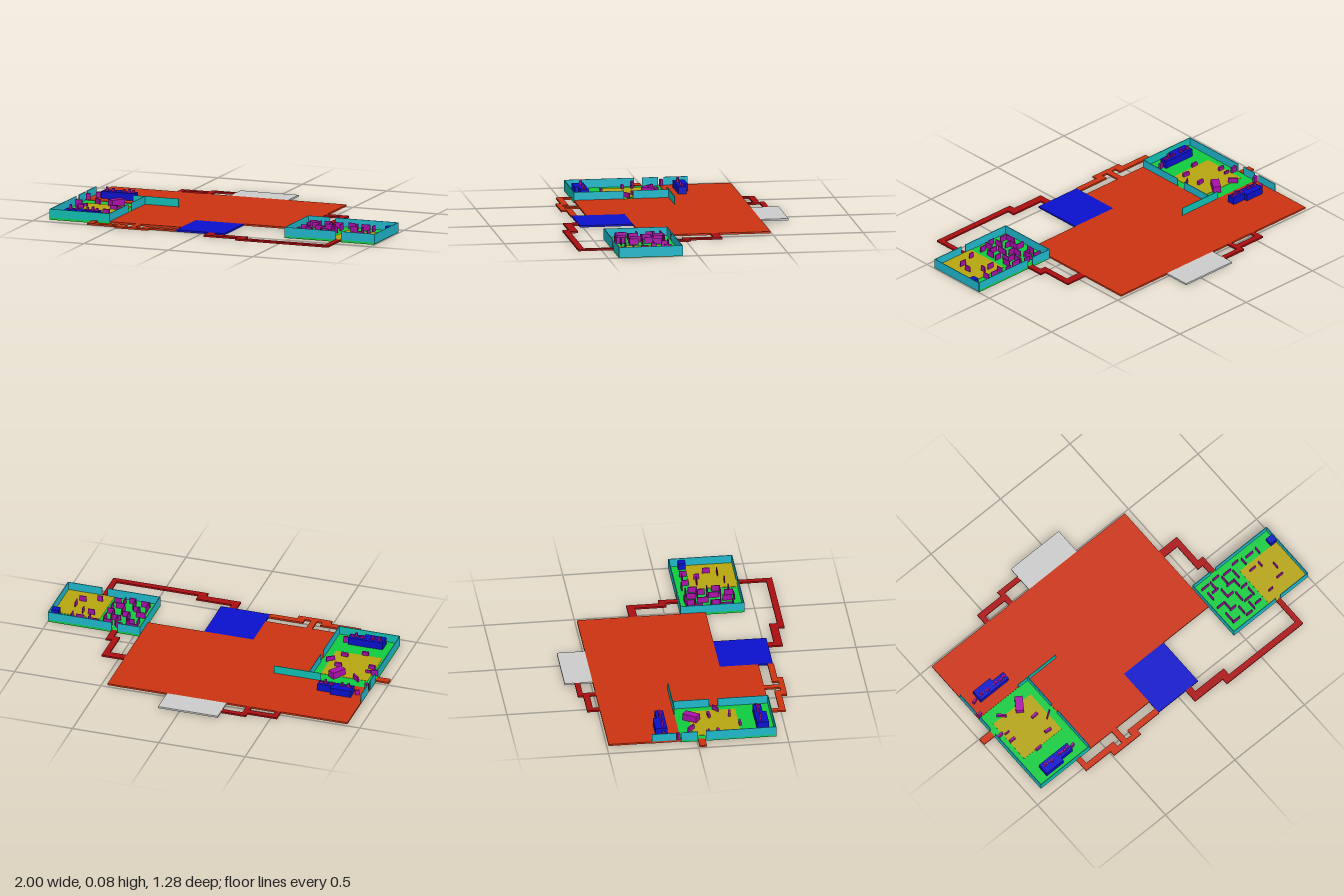
import * as THREE from 'three';

const mat = (color) => new THREE.MeshStandardMaterial({ color, flatShading: true });
const M = {
  orange: mat(0xcc3311), red: mat(0xaa0e10), green: mat(0x10cc40), yellow: mat(0xb5a510), blue: mat(0x0a10cc),
  teal: mat(0x10c0b4), cyan: mat(0x20b8cc), magenta: mat(0xaa10aa), grey: mat(0xcccccc),
};

// Box given by its limits in x, z and y
function slab(parent, name, m, [x0, x1, z0, z1], y0 = 0.005, y1 = 0.015) {
  const mesh = new THREE.Mesh(new THREE.BoxGeometry(x1 - x0, y1 - y0, z1 - z0), M[m]);
  mesh.position.set((x0 + x1) / 2, (y0 + y1) / 2, (z0 + z1) / 2);
  mesh.name = name;
  parent.add(mesh);
  return mesh;
}

function group(parent, name) {
  const g = new THREE.Group();
  g.name = name;
  parent.add(g);
  return g;
}

// Box by centre, size and turn
function block(parent, name, m, x, z, w, d, y0, y1, turn = 0) {
  const b = slab(parent, name, m, [x - w / 2, x + w / 2, z - d / 2, z + d / 2], y0, y1);
  b.rotation.y = turn;
}

const T = 0.004; // wall thickness
const wallX = (p, m, z, x0, x1) => slab(p, 'wall', m, [x0, x1, z - T / 2, z + T / 2], 0.004, 0.06);
const wallZ = (p, m, x, z0, z1) => slab(p, 'wall', m, [x - T / 2, x + T / 2, z0, z1], 0.004, 0.06);

function addCorridors(root) {
  const runs = {
    backCorridor: ['red', [-0.37, -0.225, -0.59, -0.56], [-0.37, -0.34, -0.56, -0.49],
      [-0.54, -0.37, -0.56, -0.525], [-0.54, -0.51, -0.525, -0.49]],
    leftSideCorridor: ['red', [0.465, 0.595, -0.2, -0.155], [0.56, 0.595, -0.155, 0.02], [0.595, 0.63, -0.02, 0.085]],
    longFrontCorridor: ['red', [0.05, 0.09, 0.52, 0.555], [0.05, 0.295, 0.555, 0.6],
      [0.25, 0.8, 0.6, 0.635], [0.77, 0.8, 0.44, 0.6]],
    shortFrontCorridor: ['orange', [-0.67, -0.64, 0.44, 0.49], [-0.67, -0.445, 0.49, 0.525],
      [-0.495, -0.3, 0.525, 0.555], [-0.345, -0.145, 0.49, 0.525], [-0.415, -0.38, 0.44, 0.525]],
    entryCorridor: ['orange', [-1, -0.925, 0.005, 0.045]],
  };
  for (const [name, [color, ...parts]] of Object.entries(runs)) {
    const g = group(root, name);
    parts.forEach((p) => slab(g, 'corridorSection', color, p));
  }
}

function addLargeRoom(root) {
  const g = group(root, 'rightRoom');
  slab(g, 'roomFloor', 'green', [-0.925, -0.57, -0.09, 0.44], 0, 0.012);
  slab(g, 'carpet', 'yellow', [-0.885, -0.615, -0.015, 0.25], 0.01, 0.014);
  // walls with door gaps
  wallX(g, 'teal', 0.438, -0.925, -0.57);
  wallZ(g, 'cyan', -0.923, 0.05, 0.44);
  wallZ(g, 'cyan', -0.923, -0.085, 0.005);
  wallZ(g, 'cyan', -0.923, -0.25, -0.115);
  wallZ(g, 'cyan', -0.572, 0.16, 0.44);
  wallZ(g, 'cyan', -0.572, -0.09, 0.11);
  wallX(g, 'teal', -0.09, -0.64, -0.37);
  // two counters with small figures on top
  for (const [z, s] of [[-0.178, -1], [0.365, 1]]) {
    const c = group(g, 'counter');
    block(c, 'counterBody', 'blue', -0.755, z, 0.2, 0.046, 0.012, 0.055);
    block(c, 'counterBack', 'blue', -0.795, z + s * 0.033, 0.12, 0.02, 0.012, 0.055);
    [[-0.83, 0.078], [-0.79, 0.074], [-0.73, 0.07], [-0.695, 0.076], [-0.675, 0.068]].forEach(([x, top], i) => {
      block(c, 'counterItem', 'magenta', x, z + (i % 2 ? 0.006 : -0.003), 0.012, 0.012, 0.05, top);
      block(c, 'counterItemBase', 'magenta', x, z, 0.03, 0.01, 0.055, 0.06);
    });
    block(c, 'stool', 'magenta', s < 0 ? -0.88 : -0.635, z, 0.025, 0.012, 0.012, 0.045, 0.3);
  }
  // loose furniture: x, z, width, depth, top, turn
  [[-0.705, -0.005, 0.045, 0.085, 0.05, -0.6], [-0.82, -0.02, 0.055, 0.01, 0.04, -0.75], [-0.62, 0.14, 0.05, 0.006, 0.04, 0.6],
    [-0.865, 0.125, 0.035, 0.014, 0.035, 0], [-0.86, 0.075, 0.03, 0.008, 0.03, 0], [-0.68, 0.095, 0.04, 0.014, 0.035, 0.1],
    [-0.68, 0.21, 0.04, 0.014, 0.035, -0.1], [-0.785, 0.255, 0.035, 0.012, 0.035, 0],
    [-0.9, 0.063, 0.035, 0.012, 0.045, 0.1], [-0.91, -0.1, 0.025, 0.014, 0.05, 0.2]]
    .forEach(([x, z, w, d, top, turn]) => block(g, 'furniture', 'magenta', x, z, w, d, 0.012, top, turn));
}

function addMazeRoom(root) {
  const g = group(root, 'leftRoom');
  slab(g, 'roomFloor', 'green', [0.465, 0.995, 0.085, 0.44], 0, 0.012);
  slab(g, 'carpet', 'yellow', [0.73, 0.995, 0.175, 0.438], 0.01, 0.014);
  // walls with door gaps
  wallX(g, 'cyan', 0.087, 0.465, 0.595);
  wallX(g, 'cyan', 0.087, 0.63, 0.995);
  wallX(g, 'cyan', 0.438, 0.465, 0.77);
  wallX(g, 'cyan', 0.438, 0.8, 0.995);
  wallZ(g, 'cyan', 0.467, 0.085, 0.44);
  wallZ(g, 'cyan', 0.998, 0.085, 0.44);
  slab(g, 'cabinet', 'blue', [0.955, 0.995, 0.135, 0.175], 0.012, 0.05);
  // low maze partitions: x, z, length; first those along x, then those along z
  const along = [[0.52, 0.13, 0.05], [0.6, 0.125, 0.04], [0.67, 0.14, 0.05], [0.74, 0.125, 0.04], [0.83, 0.14, 0.05],
    [0.55, 0.18, 0.04], [0.64, 0.2, 0.05], [0.52, 0.265, 0.05], [0.6, 0.25, 0.04], [0.69, 0.26, 0.04],
    [0.56, 0.32, 0.04], [0.66, 0.33, 0.05], [0.53, 0.385, 0.05], [0.61, 0.4, 0.04], [0.69, 0.38, 0.04],
    [0.79, 0.215, 0.04], [0.88, 0.34, 0.04], [0.79, 0.37, 0.03]];
  const across = [[0.51, 0.19, 0.05], [0.51, 0.35, 0.06], [0.56, 0.15, 0.05], [0.58, 0.225, 0.06], [0.545, 0.29, 0.05],
    [0.59, 0.36, 0.05], [0.63, 0.165, 0.05], [0.63, 0.29, 0.06], [0.67, 0.22, 0.05], [0.65, 0.375, 0.05],
    [0.7, 0.18, 0.05], [0.7, 0.31, 0.05], [0.78, 0.15, 0.04], [0.88, 0.15, 0.04], [0.9, 0.28, 0.04], [0.84, 0.22, 0.03]];
  along.forEach(([x, z, l]) => block(g, 'partition', 'magenta', x, z, l, 0.005, 0.012, 0.046));
  across.forEach(([x, z, l]) => block(g, 'partition', 'magenta', x, z, 0.005, l, 0.012, 0.046));
}

export function createModel() {
  const root = new THREE.Group();
  root.name = 'floorPlan';

  // main hall floor, notched around the right room and the front court
  const outline = [[-0.925, -0.49], [0.465, -0.49], [0.465, 0.225], [-0.145, 0.225], [-0.145, 0.44],
    [-0.57, 0.44], [-0.57, -0.09], [-0.925, -0.09]];
  const shape = new THREE.Shape(outline.map(([x, z]) => new THREE.Vector2(x, -z)));
  const hall = new THREE.Mesh(new THREE.ExtrudeGeometry(shape, { depth: 0.01, bevelEnabled: false }), M.orange);
  hall.rotation.x = -Math.PI / 2;
  hall.position.y = 0.005;
  hall.name = 'hallFloor';
  root.add(hall);

  slab(root, 'frontCourt', 'blue', [-0.145, 0.14, 0.225, 0.52]);
  slab(root, 'backPlatform', 'grey', [-0.225, 0.12, -0.645, -0.49]);
  addCorridors(root);
  addLargeRoom(root);
  addMazeRoom(root);
  return root;
}
